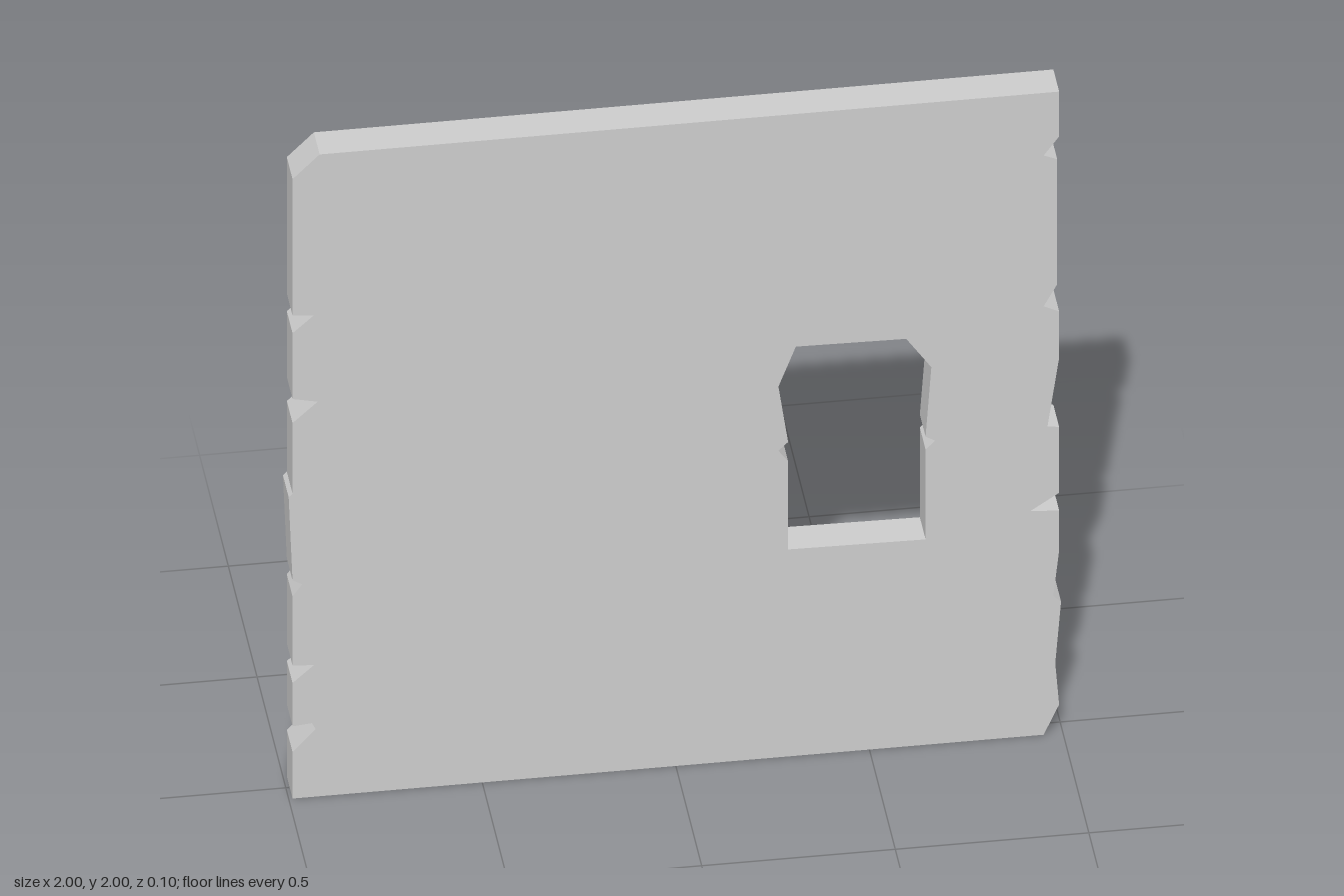
import * as THREE from 'three';

const toPoints = (pairs) => pairs.map(([x, y]) => new THREE.Vector2(x, y));

export function createModel() {
  const group = new THREE.Group();
  const depth = 0.1;

  // Right edge going up: chipped and cracked
  const rightEdge = [
    [0.95, 0], [0.99, 0.09], [0.98, 0.22], [0.995, 0.41], [0.975, 0.43],
    [0.99, 0.57], [0.99, 0.695], [0.915, 0.70], [0.99, 0.75], [0.99, 0.955],
    [0.96, 0.96], [0.99, 1.17], [0.99, 1.315], [0.95, 1.335], [0.985, 1.40],
    [0.985, 1.79], [0.95, 1.805], [0.99, 1.86], [0.99, 2],
  ];
  // Left edge going down: clipped top corner and small notches
  const leftEdge = [
    [-0.92, 2], [-0.99, 1.93], [-0.99, 1.505], [-0.935, 1.50], [-0.99, 1.45],
    [-0.99, 1.245], [-0.925, 1.23], [-0.99, 1.17], [-0.99, 0.95], [-1, 0.94],
    [-0.99, 0.68], [-0.965, 0.665], [-0.99, 0.63], [-0.99, 0.415],
    [-0.935, 0.41], [-0.99, 0.36], [-0.99, 0.225], [-0.94, 0.23],
    [-0.93, 0.21], [-0.99, 0.145], [-0.99, 0],
  ];
  // Window opening with worn jambs
  const windowEdge = [
    [0.29, 0.645], [0.29, 0.92], [0.265, 0.955], [0.29, 0.98], [0.265, 1.155],
    [0.31, 1.275], [0.595, 1.27], [0.66, 1.175], [0.645, 0.96], [0.67, 0.945],
    [0.645, 0.92], [0.645, 0.64],
  ];

  const shape = new THREE.Shape(toPoints([...rightEdge, ...leftEdge]));
  shape.holes.push(new THREE.Path(toPoints(windowEdge)));

  const geometry = new THREE.ExtrudeGeometry(shape, { depth, bevelEnabled: false });
  geometry.translate(0, 0, -depth / 2);

  const wall = new THREE.Mesh(
    geometry,
    new THREE.MeshStandardMaterial({ color: 0xcccccc, flatShading: true }),
  );
  wall.name = 'wallPanel';
  group.add(wall);
  return group;
}
